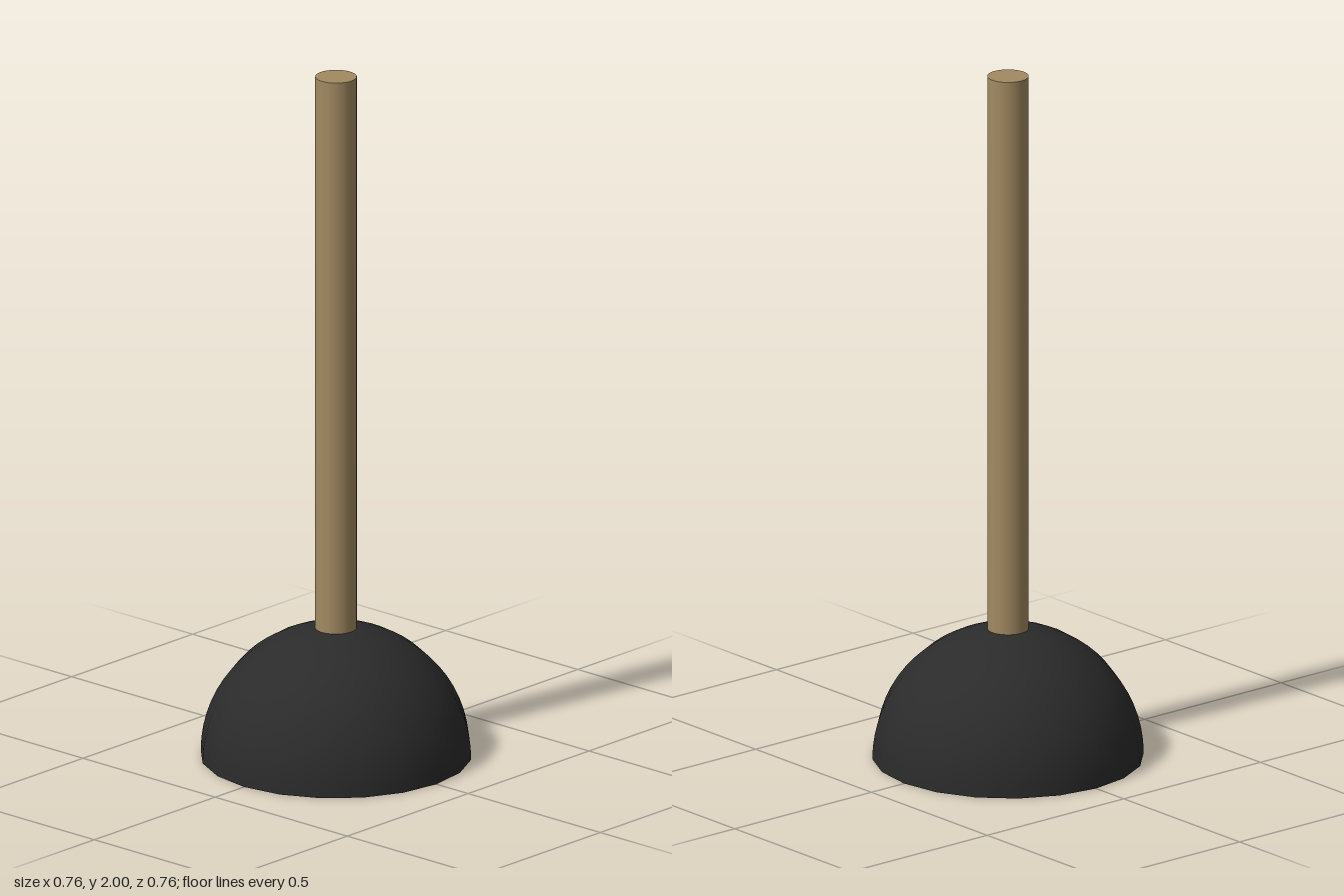
import * as THREE from 'three';

const OUTER = 0.38, INNER = 0.31, SIDES = 20, RINGS = 16;

// Quarter circle from the rim (y = 0) up to the pole
function quarterArc(radius) {
  return Array.from({ length: RINGS + 1 }, (_, i) => {
    const a = (i / RINGS) * Math.PI / 2;
    return new THREE.Vector2(i === RINGS ? 0 : radius * Math.cos(a), radius * Math.sin(a));
  });
}

export function createModel() {
  const model = new THREE.Group();
  const rubber = new THREE.MeshStandardMaterial({ color: 0x2b2b2b });
  const wood = new THREE.MeshStandardMaterial({ color: 0xa18a62 });

  const add = (name, geometry, material, parent) => {
    const mesh = new THREE.Mesh(geometry, material);
    mesh.name = name;
    parent.add(mesh);
    return mesh;
  };

  // Hollow rubber cup: separate surfaces keep the rim edges sharp
  const cup = new THREE.Group();
  cup.name = 'cup';
  model.add(cup);
  const surfaces = {
    cupOutside: quarterArc(OUTER),
    cupRim: [new THREE.Vector2(INNER, 0), new THREE.Vector2(OUTER, 0)],
    cupInside: quarterArc(INNER).reverse(),
  };
  for (const [name, profile] of Object.entries(surfaces)) {
    add(name, new THREE.LatheGeometry(profile, SIDES), rubber, cup);
  }

  // Wooden handle, seated in the thickness of the cup
  const bottom = 0.35, top = 2;
  const handle = add('handle', new THREE.CylinderGeometry(0.058, 0.058, top - bottom, 32), wood, model);
  handle.position.y = (top + bottom) / 2;

  return model;
}
